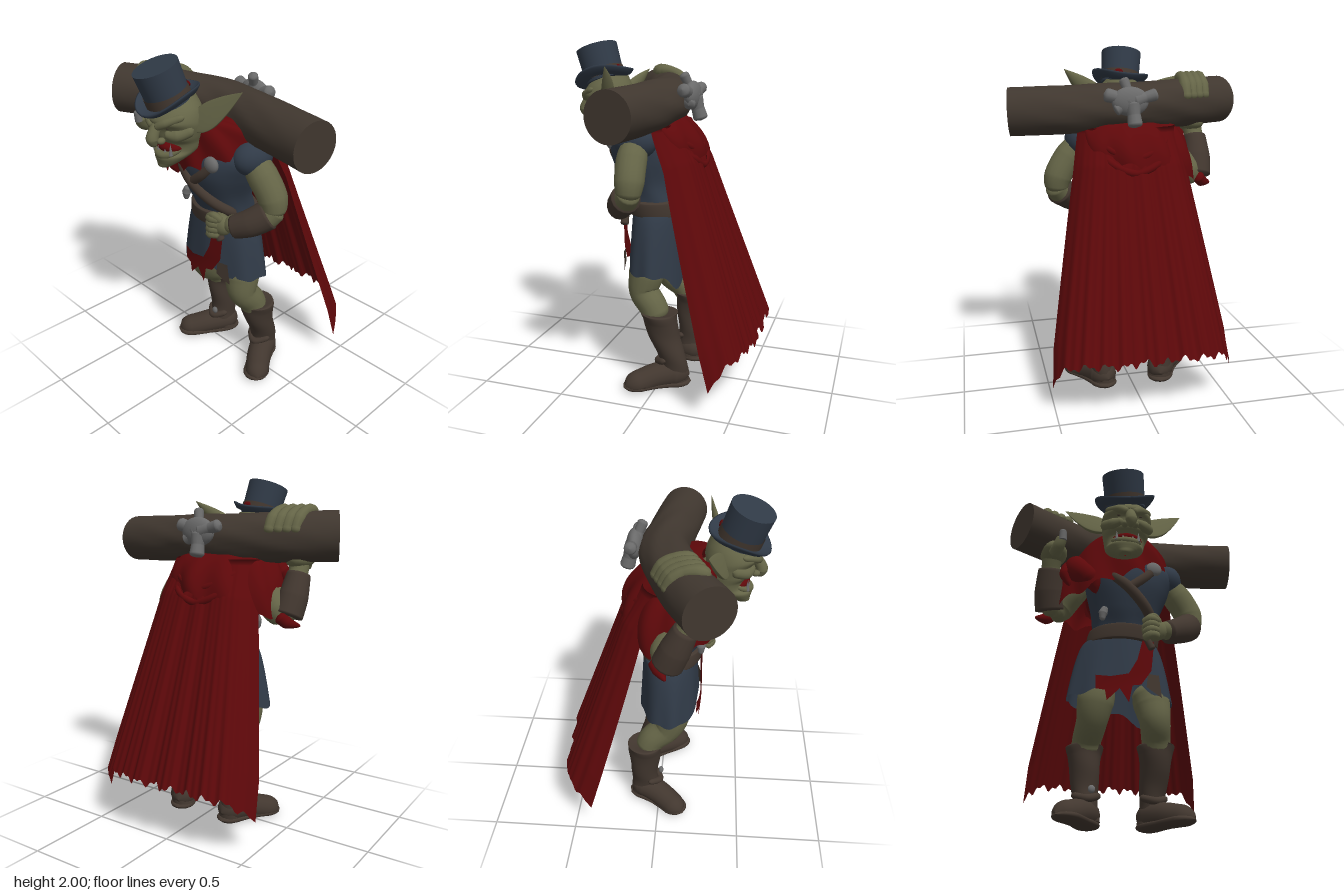
import * as THREE from 'three';
import { ParametricGeometry } from 'three/addons/geometries/ParametricGeometry.js';

const { sin, cos, max, min, abs, sqrt, PI } = Math;
const V = (x, y, z) => new THREE.Vector3(x, y, z);
const path = pts => new THREE.CatmullRomCurve3(pts.map(p => V(p[0], p[1], p[2])));
const flat = pts => pts.map(p => new THREE.Vector2(...p));
const mat = (name, color) => new THREE.MeshStandardMaterial({ name, color, side: THREE.DoubleSide });

export function createModel() {
  const root = new THREE.Group();
  root.name = 'goblinWithLog';
  const skin = mat('skin', 0x656547), blue = mat('blueCloth', 0x303a47), red = mat('redCloth', 0x5e080a);
  const leather = mat('leather', 0x42372f), wood = mat('wood', 0x40372f), bone = mat('bone', 0x6a6a6a);
  const add = (name, geo, m, parent = root) => {
    const mesh = new THREE.Mesh(geo, m);
    mesh.name = name;
    parent.add(mesh);
    return mesh;
  };
  const sheet = (name, m, nu, nv, fn) =>
    add(name, new ParametricGeometry((u, v, t) => t.set(...fn(u, v)), nu, nv), m);
  const blob = (name, m, p, s, parent = root) => {
    const b = add(name, new THREE.SphereGeometry(1, 20, 14), m, parent);
    b.position.set(...p);
    b.scale.set(...s);
  };
  // Upright form from horizontal ellipses: [y, centreX, centreZ, radiusX, radiusZ]
  const body = (name, m, rows, ripple = () => 0) => {
    const centre = path(rows.map(r => [r[1], r[0], r[2]])), size = path(rows.map((r, i) => [r[3], r[4], i * .05]));
    return sheet(name, m, 36, rows.length * 5, (u, v) => {
      const a = u * PI * 2, c = centre.getPoint(v), s = size.getPoint(v), k = 1 + ripple(a, v);
      return [c.x + s.x * k * sin(a), c.y, c.z + s.y * k * cos(a)];
    });
  };
  // Round limb along a path: [x, y, z, radius]
  const limb = (name, m, pts, { round = .15, ripple = () => 0, floor = -9, nu = 16, nv = 20 } = {}) => {
    const curve = path(pts), d = pts.at(-1).slice(0, 3).map((c, i) => abs(c - pts[0][i]));
    const ref = V(0, 0, 0).setComponent(d.indexOf(min(...d)), 1);
    return sheet(name, m, nu, nv, (u, v) => {
      const f = v * (pts.length - 1), i = min(Math.floor(f), pts.length - 2), a = u * PI * 2;
      const e = min(1, min(v, 1 - v) / (round || 1));
      const r = THREE.MathUtils.lerp(pts[i][3], pts[i + 1][3], f - i) *
        (round ? sqrt(max(0, 1 - (1 - e) ** 2)) : 1) * (1 + ripple(a, v));
      const T = curve.getTangent(v), N = T.clone().cross(ref).normalize(), B = T.clone().cross(N);
      const p = curve.getPoint(v).addScaledVector(N, r * cos(a)).addScaledVector(B, r * sin(a));
      return [p.x, max(floor, p.y), p.z];
    });
  };
  // Thin plate wrapped around the front of the skirt
  const plate = (name, m, pts, out) => {
    const geo = new THREE.ShapeGeometry(new THREE.Shape(flat(pts))), p = geo.attributes.position;
    for (let i = 0; i < p.count; i++) p.setZ(i, out + .185 * sqrt(1 - (p.getX(i) / .35) ** 2));
    geo.computeVertexNormals();
    add(name, geo, m);
  };

  // Torso, belt and skirt
  body('vest', blue, [[1.02, 0, .06, .2, .15], [1.1, 0, .075, .19, .155], [1.2, 0, .11, .2, .165],
    [1.35, .01, .14, .245, .185], [1.45, .01, .15, .27, .17], [1.53, 0, .14, .24, .14], [1.6, 0, .13, .1, .07]],
  (a, v) => .02 * sin(a * 6 + v * 9) * (1 - v));
  body('belt', leather, [[1.015, -.01, .065, .19, .155], [1.02, -.01, .065, .212, .173],
    [1.1, 0, .075, .208, .175], [1.11, 0, .075, .185, .155]]);
  sheet('skirt', blue, 72, 16, (u, v) => {
    const a = u * PI * 2, s = sin(a), c = cos(a), d = 1 - v, k = 1 + .022 * d * sin(a * 8);
    const hem = .69 + .008 * sin(a * 9) + .07 * max(0, c) ** 12 - .09 * max(0, cos(a - 2.6)) ** 20;
    return [-.018 + s * k * (.195 + .11 * sqrt(d)), hem + (1.05 - hem) * v, .055 + c * k * (.155 + .02 * d)];
  });
  plate('frontRag', red, [[.15, 1], [.13, .82], [.07, .73], [.02, .72], [0, .62], [-.05, .7], [-.12, .63], [-.13, .69],
    [-.18, .7], [-.18, .78], [-.1, .77], [0, .79], [.05, .88], [.08, 1]], .062);
  plate('leatherFlap', leather, [[.11, .8], [.1, .72], [.15, .69], [.19, .67], [.175, .8]], .06);

  // Chest straps and trinkets
  limb('longStrap', leather, [[-.13, 1.4, .285, .03], [-.02, 1.31, .31, .032], [.1, 1.2, .26, .032], [.18, 1.1, .145, .03]]);
  limb('shortStrap', leather, [[.16, 1.46, .275, .03], [.08, 1.37, .305, .03], [-.02, 1.29, .305, .028]]);
  blob('medallion', bone, [.14, 1.44, .3], [.048, .045, .028]);
  limb('beltCharm', bone, [[-.13, 1.2, .235, .018], [-.145, 1.16, .235, .026], [-.15, 1.11, .235, .012]]);
  limb('daggerHilt', leather, [[.1, 1.02, .235, .02], [.14, .95, .23, .025]]);

  // Legs and boots; the right leg stands a little further back
  for (const s of [-1, 1]) {
    const side = s < 0 ? 'right' : 'left', z = s < 0 ? -.06 : .02;
    limb(side + 'Leg', skin, [[s * .13, .8, .07, .1], [s * .16, .68, .085, .105], [s * .175, .57, .085 + z * .6, .088],
      [s * .19, .49, .02 + z, .083], [s * .195, .4, -.02 + z, .08]]);
    body(side + 'BootShaft', leather, [[.04, s * .175, -.1, .072, .075], [.14, s * .185, -.09, .068, .08],
      [.22, s * .19, -.075 + z * .3, .074, .085], [.32, s * .195, -.045 + z * .7, .085, .09], [.41, s * .197, -.03 + z, .097, .1],
      [.455, s * .197, -.025 + z, .104, .108], [.46, s * .197, -.025 + z, .098, .1], [.445, s * .197, -.02 + z, .03, .03]],
    (a, v) => .03 * sin(a * 2 + v * 16));
    limb(side + 'Foot', leather, [[s * .16, .07, -.18, .062], [s * .18, .08, -.1, .08], [s * .235, .07, 0, .075],
      [s * .305, .045, .09, .072], [s * .365, .035, .15, .06]], { floor: .02, round: .2 });
    limb(side + 'Sole', leather, [[s * .16, .025, -.19, .068], [s * .18, .025, -.1, .078], [s * .235, .025, 0, .072],
      [s * .305, .025, .1, .08], [s * .365, .025, .16, .062]], { round: .2 }).geometry.scale(1, .35, 1).translate(0, .018, 0);
    limb(side + 'AnkleStrap', leather, [[s * .11, .18, -.05, .02], [s * .19, .15, .005, .022], [s * .265, .18, -.06, .02]]);
  }
  blob('bootBuckle', bone, [-.165, .2, .01], [.02, .022, .015]);

  // Left arm with its fist at the belt
  blob('leftSleeve', blue, [.255, 1.465, .11], [.095, .1, .125]);
  limb('leftUpperArm', skin, [[.25, 1.46, .11, .075], [.33, 1.37, .105, .085], [.395, 1.26, .095, .082], [.41, 1.16, .1, .062]]);
  limb('leftForearm', skin, [[.425, 1.22, .08, .065], [.36, 1.14, .14, .07], [.17, 1.07, .25, .05]]);
  limb('leftBracer', leather, [[.395, 1.18, .11, .085], [.32, 1.12, .175, .078], [.22, 1.07, .225, .066]], { round: .06 });
  blob('leftPalm', skin, [.15, 1.07, .245], [.075, .065, .05]);
  for (let i = 0; i < 4; i++)
    limb('leftFinger', skin, [[.17, 1.11 - i * .03, .27, .023], [.12, 1.115 - i * .033, .295, .025],
      [.08, 1.1 - i * .033, .26, .023]], { nu: 8, nv: 10 });
  limb('leftThumb', skin, [[.18, 1.1, .26, .022], [.14, 1.135, .285, .022], [.1, 1.12, .29, .018]], { nu: 8, nv: 10 });

  // Right arm holding the log
  blob('rightSleeve', blue, [-.25, 1.45, .11], [.09, .1, .11]);
  limb('rightUpperArm', skin, [[-.23, 1.46, .1, .08], [-.31, 1.36, .08, .083], [-.375, 1.27, .045, .08], [-.42, 1.2, .06, .05]]);
  limb('rightForearm', skin, [[-.42, 1.2, .06, .055], [-.44, 1.32, .09, .075], [-.45, 1.47, .16, .055], [-.44, 1.56, .2, .06]]);
  limb('rightBracer', leather, [[-.435, 1.23, .06, .09], [-.45, 1.34, .105, .086], [-.455, 1.48, .165, .066]], { round: .06 });
  limb('elbowRag', red, [[-.42, 1.25, -.015, .035], [-.46, 1.21, .02, .035], [-.525, 1.19, .06, .008]]);
  blob('rightPalm', skin, [-.44, 1.55, .2], [.08, .06, .11]);
  limb('rightThumb', skin, [[-.44, 1.5, .26, .04], [-.42, 1.53, .315, .035], [-.4, 1.58, .34, .03]]);
  limb('thumbNail', bone, [[-.4, 1.55, .35, .024], [-.4, 1.615, .36, .02]]);
  for (let i = 0; i < 4; i++) {
    const x = -.488 + i * .043, cz = .175 - (x + .43) * .47;
    limb('rightFinger', skin, [62, 85, 110, 135, 155, 172].map((deg, j) => {
      const a = deg * PI / 180;
      return [x - .012 * cos(a), 1.668 + .148 * sin(a), cz + .148 * cos(a), j % 2 ? .036 : .031];
    }), { nu: 10 });
  }

  // Bent log with flat ends
  const logPath = [[-.637, 1.675, .272, .142], [-.33, 1.668, .12, .14], [-.02, 1.66, .02, .138],
    [.3, 1.645, .045, .136], [.66, 1.635, .1, .136]], logCurve = path(logPath);
  limb('log', wood, logPath, { round: 0, nu: 32, nv: 48,
    ripple: (a, v) => sin(v * PI) * (.03 * sin(a * 3 + v * 8) + .015 * sin(a * 7 - v * 21)) });
  for (const t of [0, 1]) {
    const p = logCurve.getPoint(t), disc = add('logEnd', new THREE.CircleGeometry(logPath[t * 4][3], 32), wood);
    disc.position.copy(p);
    disc.lookAt(p.clone().addScaledVector(logCurve.getTangent(t), t ? 1 : -1));
  }

  // Knotted bone ornament on the back of the log
  blob('boneKnot', bone, [.02, 1.7, -.145], [.105, .08, .045]);
  for (const [x, y, z, r] of [[-.135, 1.74, -.155, .036], [.05, 1.825, -.095, .03],
    [.165, 1.74, -.125, .04], [.11, 1.65, -.145, .036], [0, 1.56, -.19, .044]])
    limb('boneProng', bone, [[.01, 1.7, -.15, .05], [(x + .01) / 2, (y + 1.7) / 2, (z - .15) / 2, r * .85], [x, y, z, r]], { nu: 12 });

  // Cape and cowl
  sheet('cape', red, 96, 40, (u, v) => {
    const q = u * 2 - 1, e = abs(q), hem = .34 + .015 * sin(q * 31) + .012 * sin(q * 67) - .16 * e ** 9;
    const back = v < .17 ? -.09 - v * .7 : -.209 - (v - .17) * .43;
    const fold = (.004 + .01 * v) * sin(q * 11 + 2 * sin(q * 5)) * (1 - e ** 6);
    const w = .285 + .25 * v ** .95 - .02 * max(0, v - .85) / .15 * e ** 9;
    return [q * w, 1.55 + (hem - 1.55) * v, back + (.1 + .08 * sqrt(v)) * e ** 5 + fold];
  });
  sheet('cowl', red, 80, 20, (u, v) => {
    const a = u * PI * 2, s = sin(a), c = cos(a), k = cos(v * PI / 2), h = sin(v * PI / 2);
    const rim = 1.44 + .07 * s - .1 * max(0, -s) - .06 * max(0, c) - .1 * max(0, -c) + .02 * sin(a * 11);
    const r = k * (1 + .05 * sin(a * 9 + v * 5) * k);
    return [-.02 + s * (.1 + .21 * r) - .07 * k * max(0, -s), rim + (1.67 - rim) * h,
      .27 - .22 * k + c * (.05 + r * (c < 0 ? .22 : .24))];
  });
  for (let i = 0; i < 2; i++)
    limb('cowlFold', red, [[-.25 + i * .03, 1.53 - i * .06, -.01, .02], [-.15, 1.44 - i * .07, -.145 - i * .03, .022],
      [0, 1.39 - i * .08, -.18 - i * .025, .022], [.14, 1.44 - i * .07, -.145 - i * .03, .022], [.22 - i * .03, 1.53 - i * .06, -.01, .02]]);
  limb('shoulderDrape', red, [[-.31, 1.53, .13, .07], [-.28, 1.43, .22, .075], [-.22, 1.36, .26, .06], [-.19, 1.27, .255, .012]]);
  limb('shoulderTatter', red, [[-.33, 1.5, .15, .05], [-.36, 1.42, .19, .04], [-.34, 1.34, .2, .008]]);

  // Head
  limb('neck', skin, [[0, 1.5, .14, .1], [-.01, 1.54, .24, .09], [-.03, 1.59, .34, .09]]);
  body('head', skin, [[1.415, -.055, .455, .005, .005], [1.425, -.055, .45, .035, .035], [1.45, -.05, .43, .065, .06],
    [1.49, -.047, .39, .1, .105], [1.52, -.045, .355, .112, .1], [1.56, -.043, .355, .12, .1], [1.59, -.04, .365, .13, .122],
    [1.65, -.035, .37, .142, .128], [1.69, -.035, .383, .145, .148], [1.74, -.035, .375, .13, .13], [1.8, -.04, .36, .09, .09]]);
  limb('nose', skin, [[-.035, 1.69, .49, .025], [-.035, 1.64, .525, .03], [-.035, 1.6, .54, .034], [-.035, 1.555, .525, .016]]);
  blob('mouth', red, [-.04, 1.535, .42], [.085, .036, .062]);
  limb('lowerLip', skin, [[-.125, 1.54, .4, .018], [-.09, 1.505, .465, .02], [-.045, 1.497, .485, .02], [0, 1.505, .465, .02], [.04, 1.54, .4, .018]]);
  for (const s of [-1, 1]) {
    const at = d => -.035 + s * d;
    limb('brow', skin, [[at(.012), 1.662, .525, .02], [at(.06), 1.69, .505, .024], [at(.13), 1.725, .43, .018]]);
    blob('eye', leather, [at(.055), 1.662, .487], [.018, .007, .008]);
    limb('cheek', skin, [[at(.035), 1.625, .49, .02], [at(.085), 1.62, .455, .035], [at(.14), 1.65, .38, .03]]);
    blob('nostril', skin, [at(.03), 1.59, .508], [.02, .018, .024]);
    for (const [dx, h] of [[.062, .065], [.028, .035]])
      add('tooth', new THREE.ConeGeometry(.012, h, 8).translate(at(dx) - .008, 1.505 + h / 2, .484 - dx * .25), bone);
    // Long cupped ear
    const base = V(s > 0 ? .07 : -.14, 1.65, .36), span = V(s > 0 ? .325 : -.385, s > 0 ? 1.865 : 1.825, .255).sub(base);
    const outline = flat([[.035, 0], [.062, .15], [.068, .35], [.05, .6], [.025, .82], [0, 1]].map(p => [p[0], p[1] * span.length()]));
    const geo = new THREE.LatheGeometry(new THREE.SplineCurve(outline).getPoints(16), 20), ep = geo.attributes.position;
    for (let i = 0; i < ep.count; i++) ep.setZ(i, ep.getZ(i) * (ep.getZ(i) > 0 ? .1 : .65));
    geo.computeVertexNormals();
    const ear = add(s > 0 ? 'leftEar' : 'rightEar', geo, skin);
    ear.position.copy(base);
    ear.quaternion.setFromUnitVectors(V(0, 1, 0), span.normalize());
  }

  // Top hat
  const hat = new THREE.Group();
  hat.name = 'hat';
  hat.position.set(-.045, 1.772, .41);
  hat.rotation.set(.33, 0, .13);
  root.add(hat);
  add('hatCrown', new THREE.CylinderGeometry(.122, .115, .2, 36).translate(0, .095, 0), blue, hat);
  add('hatBand', new THREE.CylinderGeometry(.121, .122, .05, 36, 1, true).translate(0, .035, 0), leather, hat);
  const brim = new THREE.LatheGeometry(flat([[.05, -.012], [.15, -.012], [.172, .004], [.176, .014], [.168, .018],
    [.145, .006], [.1, .006]]), 48), bp = brim.attributes.position;
  for (let i = 0; i < bp.count; i++) bp.setY(i, bp.getY(i) + 1.5 * bp.getX(i) ** 2);
  brim.computeVertexNormals();
  add('hatBrim', brim, blue, hat);
  blob('hatPatch', red, [.03, .035, -.115], [.028, .018, .011], hat);
  return root;
}
